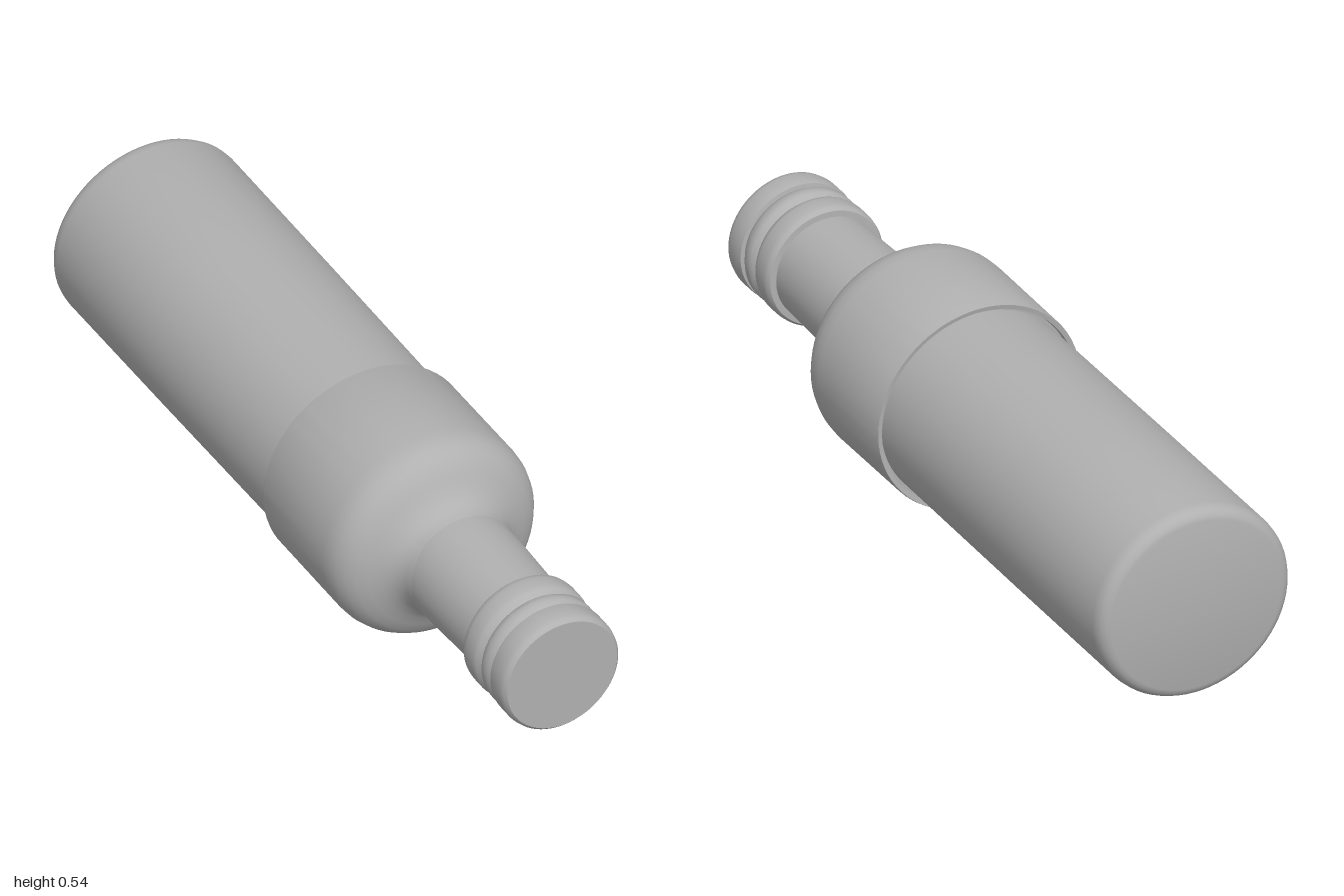
import * as THREE from 'three';
import { toCreasedNormals } from 'three/addons/utils/BufferGeometryUtils.js';

const AXIS_Y = 0.287;

export function createModel() {
  const group = new THREE.Group();
  const grey = new THREE.MeshStandardMaterial({ color: 0xb0b0b0 });
  grey.name = 'grey';

  // Turns a [radius, z] profile (back to front) around the bottle's long axis
  function turned(name, profile, squash = 1) {
    const points = profile.map(([r, z]) => new THREE.Vector2(r, z));
    const lathe = new THREE.LatheGeometry(points, 72);
    lathe.rotateX(Math.PI / 2);
    lathe.scale(1, squash, 1);
    const mesh = new THREE.Mesh(toCreasedNormals(lathe, 0.65), grey);
    mesh.name = name;
    mesh.position.y = AXIS_Y;
    group.add(mesh);
  }

  // Long body with a rounded base edge
  turned('body', [
    [0, -1], [0.228, -1], [0.239, -0.997], [0.249, -0.988], [0.255, -0.976],
    [0.257, -0.96], [0.256, -0.5], [0.253, 0.08],
  ], 0.972);

  // Wider sleeve curving in to the neck, with a sharp step at the back
  turned('shoulder', [
    [0.24, 0.07], [0.258, 0.07], [0.26, 0.055], [0.271, 0.053], [0.273, 0.06],
    [0.274, 0.34], [0.272, 0.368], [0.265, 0.392], [0.252, 0.413], [0.234, 0.43],
    [0.208, 0.444], [0.182, 0.458], [0.163, 0.473], [0.15, 0.49], [0.143, 0.51],
    [0.14, 0.54],
  ], 0.985);

  // Slightly tapering neck
  turned('neck', [[0.141, 0.52], [0.14, 0.6], [0.136, 0.72], [0.133, 0.83]]);

  // Collar ring, thin middle ring and flat cap, separated by grooves
  turned('collarRing', [
    [0.13, 0.797], [0.149, 0.798], [0.155, 0.805], [0.157, 0.818], [0.157, 0.85],
    [0.154, 0.862], [0.147, 0.87], [0.144, 0.876],
  ]);
  turned('middleRing', [
    [0.144, 0.876], [0.149, 0.881], [0.154, 0.888], [0.155, 0.9], [0.154, 0.914],
    [0.149, 0.922], [0.145, 0.93],
  ]);
  turned('cap', [
    [0.145, 0.93], [0.155, 0.932], [0.157, 0.94], [0.157, 0.98], [0.154, 0.993],
    [0.147, 1], [0, 1],
  ]);

  return group;
}
